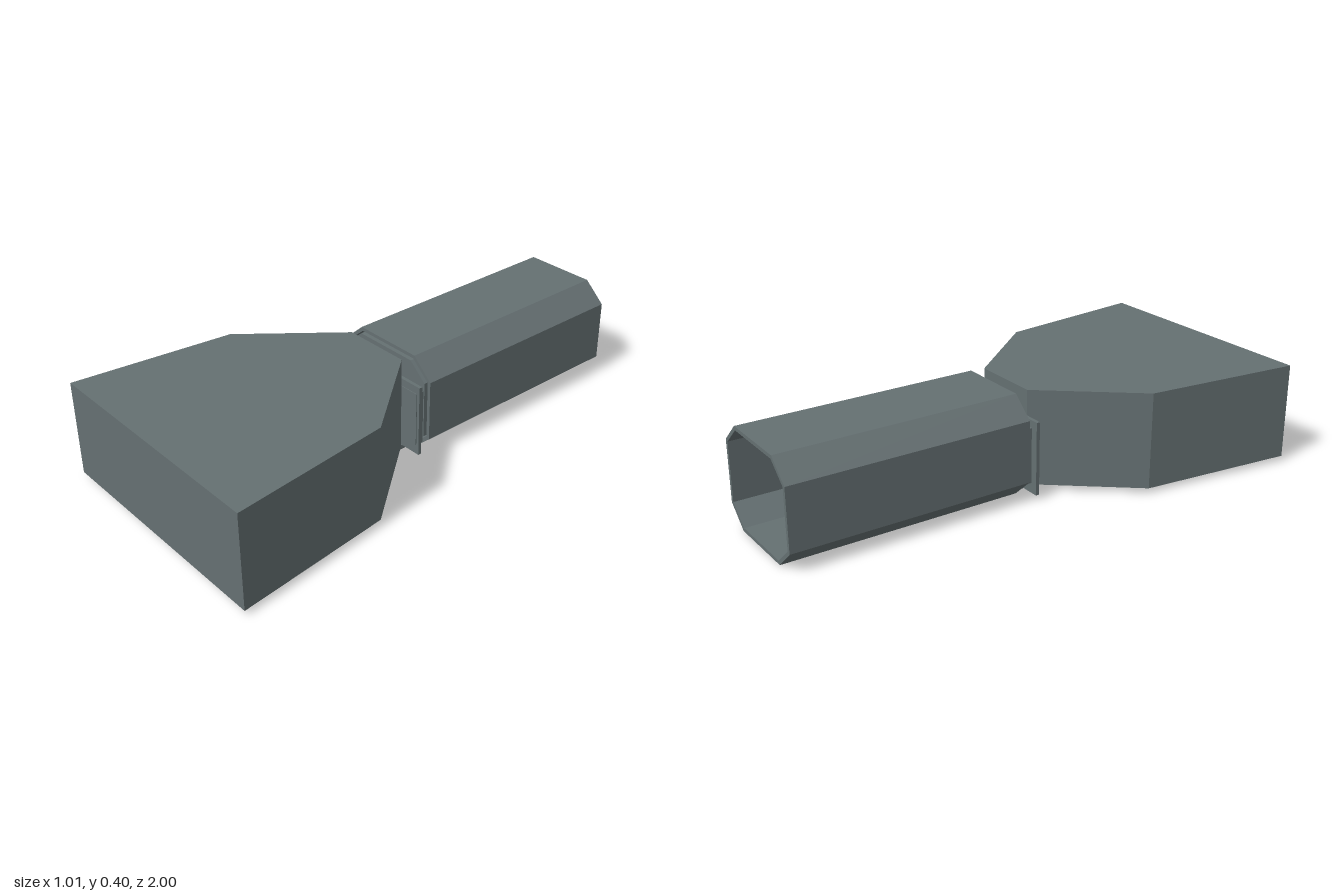
import * as THREE from 'three';

const material = new THREE.MeshStandardMaterial({ color: 0x657072, flatShading: true });

// Octagon with wide chamfers, centred on the sleeve axis
function octagon(Kind, inset) {
  const w = 0.235 - inset, h = 0.2 - inset;
  const cw = 0.148 - inset * 0.45, ch = 0.122 - inset * 0.4;
  const pts = [[cw, -h], [w, -ch], [w, ch], [cw, h], [-cw, h], [-w, ch], [-w, -ch], [-cw, -h]];
  return new Kind(pts.map(([x, y]) => new THREE.Vector2(x, y + 0.2)));
}

function extrude(shape, depth) {
  return new THREE.ExtrudeGeometry(shape, { depth, bevelEnabled: false });
}

export function createModel() {
  const group = new THREE.Group();
  const add = (name, geometry, x = 0, y = 0, z = 0) => {
    const mesh = new THREE.Mesh(geometry, material);
    mesh.name = name;
    mesh.position.set(x, y, z);
    group.add(mesh);
    return mesh;
  };
  const box = (name, w, h, d, x, y, z) => add(name, new THREE.BoxGeometry(w, h, d), x, y, z);

  // Flared head: plan outline raised to its full height
  const plan = [[0.14, 0.015], [0.43, 0.37], [0.503, 1]];
  const outline = [...plan, ...plan.map(([x, z]) => [-x, z]).reverse()];
  const headShape = new THREE.Shape(outline.map(([x, z]) => new THREE.Vector2(x, -z)));
  const head = extrude(headShape, 0.38);
  head.rotateX(-Math.PI / 2);
  add('flaredHead', head, 0, 0.02, 0);

  // Hollow octagonal sleeve, open at the back
  const sleeveShape = octagon(THREE.Shape, 0);
  sleeveShape.holes.push(octagon(THREE.Path, 0.014));
  add('sleeve', extrude(sleeveShape, 0.96), 0, 0, -1);

  // Inset plate across the front of the sleeve
  add('sleeveEndPlate', extrude(octagon(THREE.Shape, 0.02), 0.02), 0, 0, -0.05);

  // Neck joining the head and the sleeve
  box('neck', 0.18, 0.29, 0.06, 0, 0.165, -0.01);
  box('neckFoot', 0.26, 0.018, 0.06, 0, 0.01, 0);

  // Thin side flaps of the joint, with a narrow hinge strip on each
  for (const [side, reach] of [[-1, 0.24], [1, 0.222]]) {
    const width = reach - 0.08;
    box('jointFlap', width, 0.29, 0.014, side * (0.08 + width / 2), 0.165, -0.006);
    box('hingeStrip', 0.1, 0.22, 0.034, side * 0.16, 0.17, -0.013);
  }
  return group;
}
